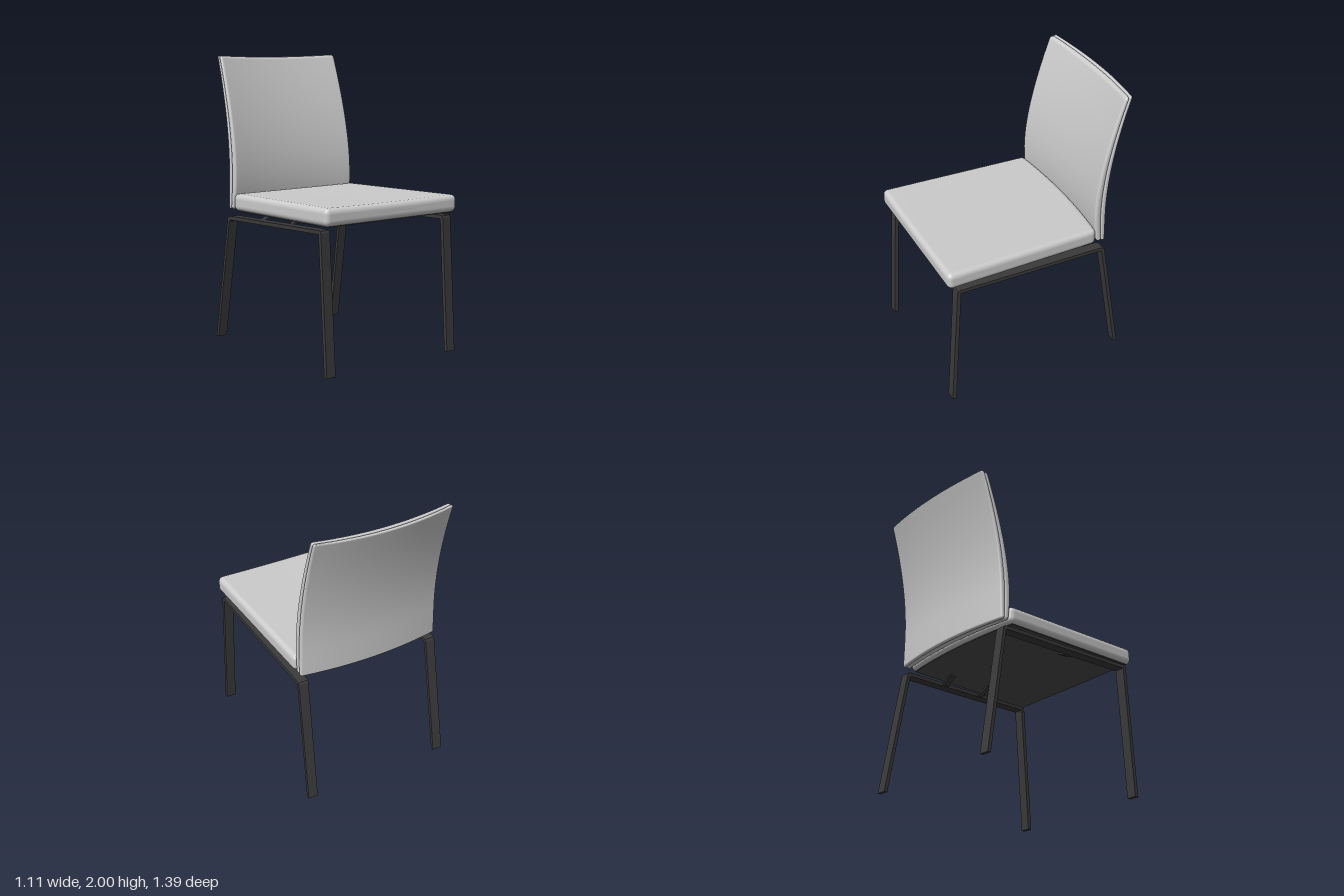
import * as THREE from 'three';
import { mergeVertices } from 'three/addons/utils/BufferGeometryUtils.js';

const fabric = new THREE.MeshStandardMaterial({ color: 0xcccccc });
const metal = new THREE.MeshStandardMaterial({ color: 0x3a3a3a });
const lining = new THREE.MeshStandardMaterial({ color: 0x4a4a4a });

// Rounded block with a fine grid, bent by warp(vector)
function softBlock(w, h, d, r, warp) {
  const n = 24, k = 4, edge = 1 - (2 * k) / n;
  const box = new THREE.BoxGeometry(2, 2, 2, n, n, n);
  box.deleteAttribute('uv');
  box.deleteAttribute('normal');
  const geo = mergeVertices(box, 1e-4);
  const pos = geo.attributes.position;
  const half = [w / 2, h / 2, d / 2];
  // gathers grid lines in the rounded edges
  const spread = (t, s) => {
    const a = Math.abs(t);
    const v = a > edge ? s - r + (r * (a - edge)) / (1 - edge) : ((s - r) * a) / edge;
    return Math.sign(t) * v;
  };
  const p = new THREE.Vector3(), core = new THREE.Vector3();
  for (let i = 0; i < pos.count; i++) {
    p.fromBufferAttribute(pos, i);
    p.set(spread(p.x, half[0]), spread(p.y, half[1]), spread(p.z, half[2]));
    core.set(...p.toArray().map((v, j) => THREE.MathUtils.clamp(v, r - half[j], half[j] - r)));
    p.sub(core);
    if (p.length() > 1e-6) {
      // keep depth inside the surface, then round the corner
      const reach = Math.max(Math.abs(p.x), Math.abs(p.y), Math.abs(p.z));
      p.setLength(reach);
    }
    p.add(core);
    warp(p);
    pos.setXYZ(i, p.x, p.y, p.z);
  }
  geo.computeVertexNormals();
  return geo;
}

function addMesh(parent, name, geo, material) {
  const mesh = new THREE.Mesh(geo, material);
  mesh.name = name;
  parent.add(mesh);
  return mesh;
}

// Seat: tapers and drops to the rear, rear edge bowed, top slightly dished
function seatWarp(p) {
  const t = p.z / 1.11 + 0.5;
  const nx = p.x / 0.55;
  const bow = 1 - nx * nx;
  p.x = nx * (0.525 + 0.03 * t);
  p.y += 0.993 + 0.028 * t - (p.y > 0 ? 0.006 * bow : 0);
  p.z += 0.135 - 0.04 * bow * (1 - t) ** 2;
}

// Backrest: leans back in a curve and wraps forward at the sides
function backWarp(p) {
  const nx = p.x / 0.5, v = p.y / 1.06 + 0.5, u = p.z / 0.08;
  const y = 0.94 + 1.06 * v, d = y - 1.15, up = Math.max(d, 0);
  const front = -0.45 - (0.42 * d * d) / (1 + 0.7 * d);
  const rear = -0.542 - (0.28 * up * up) / (1 + 0.3 * up);
  p.x = nx * (0.495 + 0.02 * (2 - y));
  p.y = y - 0.013 * (1 - nx * nx) * v;
  p.z = THREE.MathUtils.lerp(rear, front, u) + (0.05 - 0.01 * u) * nx * nx;
}

// Flat-bar side frame: front leg, rail and rear leg in one bent strip
function sideFrame(side) {
  const outline = [
    [0.69, 0], [0.629, 0.918], [0.622, 0.931], [0.61, 0.935],
    [-0.462, 0.89], [-0.478, 0.885], [-0.488, 0.87], [-0.63, 0],
    [-0.605, 0], [-0.467, 0.853], [-0.455, 0.864], [0.603, 0.909], [0.662, 0],
  ].map(([z, y]) => new THREE.Vector2(z, y));
  const geo = new THREE.ExtrudeGeometry(new THREE.Shape(outline), { depth: 0.07, bevelEnabled: false });
  geo.translate(0, 0, -0.035).rotateY(-Math.PI / 2);
  const pos = geo.attributes.position;
  for (let i = 0; i < pos.count; i++) {
    const z = pos.getZ(i), y = pos.getY(i);
    const centre = z > 0 ? 0.515 : 0.51 - 0.017 * (y / 0.89);
    pos.setX(i, pos.getX(i) + side * centre);
  }
  geo.computeVertexNormals();
  return geo;
}

export function createModel() {
  const chair = new THREE.Group();
  chair.name = 'chair';

  addMesh(chair, 'seatCushion', softBlock(1.1, 0.118, 1.11, 0.036, seatWarp), fabric);
  addMesh(chair, 'seatUnderside', softBlock(1.05, 0.012, 1.05, 0.005, (p) => {
    seatWarp(p);
    p.y -= 0.058;
  }), lining);

  // Backrest in two layers with a seam between them
  const back = new THREE.Group();
  back.name = 'backrest';
  chair.add(back);
  addMesh(back, 'backPad', softBlock(1, 1.06, 0.048, 0.02, (p) => {
    p.z += 0.056;
    backWarp(p);
  }), fabric);
  addMesh(back, 'backShell', softBlock(1, 1.06, 0.034, 0.013, (p) => {
    p.z += 0.017;
    backWarp(p);
  }), fabric);

  for (const side of [1, -1]) {
    const label = side > 0 ? 'left' : 'right';
    addMesh(chair, label + 'LegFrame', sideFrame(side), metal);

    // Sloping tabs that carry the seat on the rails
    for (const [z, y] of [[0.18, 0.902], [-0.145, 0.89]]) {
      const rise = 0.943 - y, run = 0.1;
      const tab = addMesh(chair, label + 'SeatBracket',
        new THREE.BoxGeometry(Math.hypot(run, rise), 0.012, 0.042), metal);
      tab.position.set(side * 0.42, y + rise / 2, z);
      tab.rotation.z = -side * Math.atan2(rise, run);
    }
  }
  return chair;
}
